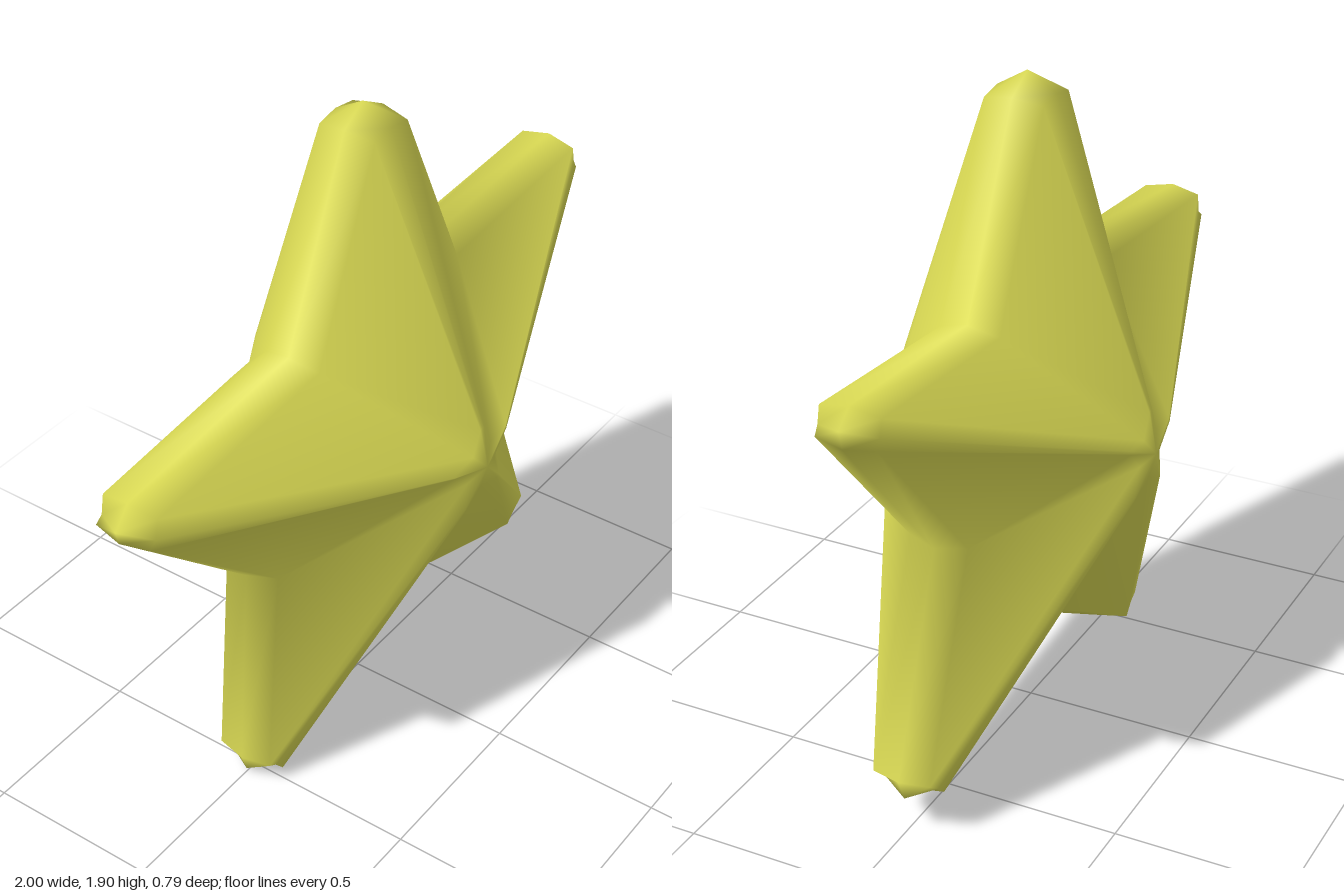
import * as THREE from 'three';

// Star outline, counter-clockwise: per arm two shoulders around a tip, then a valley
const ARMS = [
  [[0.985, 1.26], [1.0, 1.315], [0.95, 1.36], [0.36, 1.325]],
  [[0.11, 1.85], [0.02, 1.9], [-0.06, 1.85], [-0.305, 1.3]],
  [[-0.95, 1.25], [-1.0, 1.19], [-0.99, 1.15], [-0.51, 0.71]],
  [[-0.56, 0.07], [-0.54, 0.012], [-0.48, 0.0], [0.045, 0.305]],
  [[0.68, 0.1], [0.745, 0.11], [0.775, 0.18], [0.56, 0.775]],
];
const CENTRE = new THREE.Vector2(0.045, 0.9);
const RIM_Z = 0.085, DOME_Z = 0.375, APEX_Z = 0.395;

// Pull the outline inwards for the rim; tips are pulled further so they round off
function insetOutline(outline) {
  const n = outline.length;
  return outline.map((p, i) => {
    if (i % 4 === 1) return p.clone().add(CENTRE.clone().sub(p).setLength(0.05));
    const a = p.clone().sub(outline[(i + n - 1) % n]).normalize();
    const b = outline[(i + 1) % n].clone().sub(p).normalize();
    const inward = new THREE.Vector2(-a.y - b.y, a.x + b.x).normalize();
    return p.clone().addScaledVector(inward, i % 4 === 3 ? 0.03 : 0.018);
  });
}

function starGeometry() {
  const outline = ARMS.flat().map(([x, y]) => new THREE.Vector2(x, y));
  const rim = insetOutline(outline);
  const dome = rim.map((p) => CENTRE.clone().lerp(p, 0.13));
  // Rings from the front dome over the bulging edge to the back dome
  const rings = [[dome, DOME_Z], [rim, RIM_Z], [outline, 0], [rim, -RIM_Z], [dome, -DOME_Z]];
  const n = outline.length;
  const positions = [];
  const index = [];
  for (const [ring, z] of rings) for (const p of ring) positions.push(p.x, p.y, z);
  const front = rings.length * n, back = front + 1;
  positions.push(CENTRE.x, CENTRE.y, APEX_Z, CENTRE.x, CENTRE.y, -APEX_Z);

  for (let i = 0; i < n; i++) {
    const j = (i + 1) % n;
    for (let k = 0; k < rings.length - 1; k++) {
      const a = k * n + i, b = a + n, c = (k + 1) * n + j, d = k * n + j;
      index.push(a, b, c, a, c, d);
    }
    const last = (rings.length - 1) * n;
    index.push(front, i, j, back, last + j, last + i);
  }
  const geometry = new THREE.BufferGeometry();
  geometry.setAttribute('position', new THREE.Float32BufferAttribute(positions, 3));
  geometry.setIndex(index);
  geometry.computeVertexNormals();
  return geometry;
}

export function createModel() {
  const group = new THREE.Group();
  group.name = 'star';
  const body = new THREE.Mesh(starGeometry(), new THREE.MeshStandardMaterial({ color: 0xdddd55 }));
  body.name = 'starBody';
  group.add(body);
  return group;
}
